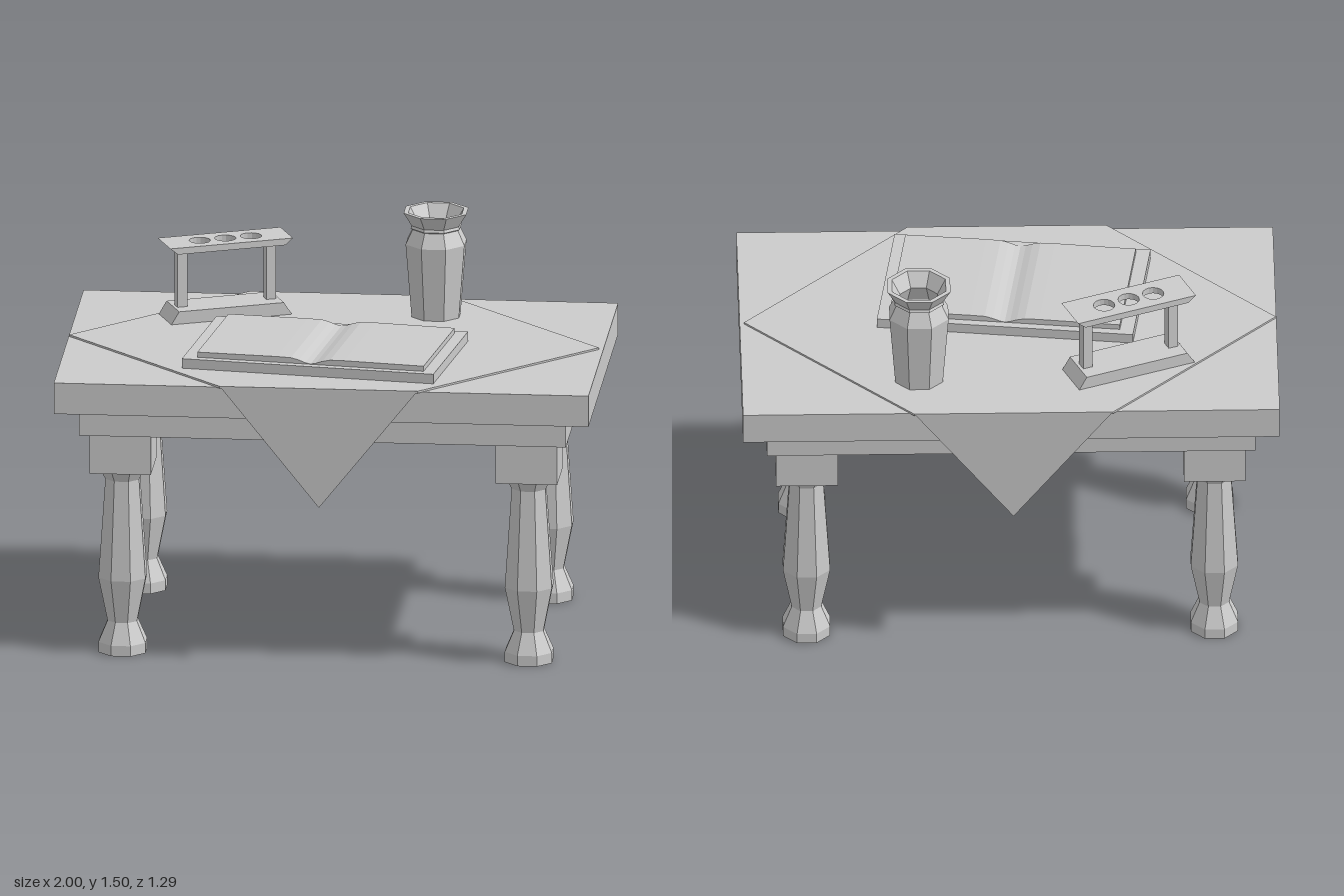
import * as THREE from 'three';

const mat = new THREE.MeshStandardMaterial({ color: 0xcccccc, flatShading: true });

function add(parent, name, geometry, x = 0, y = 0, z = 0) {
  const mesh = new THREE.Mesh(geometry, mat);
  mesh.name = name;
  mesh.position.set(x, y, z);
  parent.add(mesh);
  return mesh;
}

// Box given its bottom height
function box(parent, name, w, h, d, x, y, z) {
  return add(parent, name, new THREE.BoxGeometry(w, h, d), x, y + h / 2, z);
}

// Eight-sided turned form with flat sides facing front; radii measured across the flats
function turned(profile) {
  const k = 1 / Math.cos(Math.PI / 8);
  const pts = profile.map(([r, y]) => new THREE.Vector2(r * k, y));
  return new THREE.LatheGeometry(pts, 8).rotateY(Math.PI / 8);
}

const shapeOf = pts => new THREE.Shape(pts.map(p => new THREE.Vector2(...p)));
const extrude = (shape, depth) =>
  new THREE.ExtrudeGeometry(shape, { depth, bevelEnabled: false, curveSegments: 8 });

// Horizontal plate whose two ends slope from length l0 (bottom) to l1 (top)
function slopedPlate(l0, l1, width, h, holes = []) {
  const a = l0 / 2, w = width / 2;
  const shape = shapeOf([[-a, -w], [a, -w], [a, w], [-a, w]]);
  for (const x of holes) {
    const hole = new THREE.Path();
    hole.absarc(x, 0, 0.04, 0, Math.PI * 2, true);
    shape.holes.push(hole);
  }
  const g = extrude(shape, h).rotateX(-Math.PI / 2);
  const p = g.attributes.position;
  for (let i = 0; i < p.count; i++) {
    if (Math.abs(p.getX(i)) > a - 0.001 && p.getY(i) > h / 2) p.setX(i, Math.sign(p.getX(i)) * l1 / 2);
  }
  g.computeVertexNormals();
  return g;
}

function makeTable() {
  const table = new THREE.Group();
  table.name = 'table';
  box(table, 'tableTop', 2, 0.12, 1.256, 0, 0.968, 0);
  box(table, 'apron', 1.82, 0.1, 1.14, 0, 0.87, 0);
  const leg = turned([[0, 0], [0.088, 0], [0.088, 0.04], [0.055, 0.12], [0.088, 0.29],
    [0.063, 0.67], [0.085, 0.715], [0, 0.715]]);
  for (const sx of [-1, 1]) {
    for (const sz of [-1, 1]) {
      box(table, 'legBlock', 0.23, 0.157, 0.23, sx * 0.76, 0.714, sz * 0.423);
      add(table, 'leg', leg, sx * 0.76, 0, sz * 0.423);
    }
  }
  return table;
}

function makeCloth() {
  const cloth = new THREE.Group();
  cloth.name = 'cloth';
  const cx = -0.008, half = 0.37, edge = 0.643, topY = 1.095;
  const top = shapeOf([[-0.998, 0], [cx - half, -edge], [cx + half, -edge],
    [0.984, 0], [cx + half, edge], [cx - half, edge]]);
  add(cloth, 'clothTop', extrude(top, 0.008).rotateX(-Math.PI / 2), 0, topY - 0.008, 0);
  // Hanging corners lean slightly inward
  for (const s of [-1, 1]) {
    const g = extrude(shapeOf([[cx - half, topY], [cx, 0.63], [cx + half, topY]]), 0.014);
    const p = g.attributes.position;
    for (let i = 0; i < p.count; i++) {
      const lean = (topY - p.getY(i)) * 0.025;
      p.setZ(i, p.getZ(i) + (s > 0 ? edge - 0.014 - lean : -edge + lean));
    }
    g.computeVertexNormals();
    add(cloth, 'clothCorner', g);
  }
  return cloth;
}

function makeBook() {
  const book = new THREE.Group();
  book.name = 'openBook';
  book.position.set(-0.025, 1.092, 0.184);
  book.rotation.y = -0.133;
  box(book, 'cover', 0.96, 0.04, 0.588, 0, 0, 0);
  // Page block with a gutter along the middle
  const gutter = [[0.13, 0.062], [0.075, 0.061], [0.045, 0.054], [0.02, 0.045]];
  const pages = shapeOf([[-0.432, 0.036], [0.432, 0.036], [0.432, 0.06], ...gutter, [0, 0.041],
    ...gutter.map(([x, y]) => [-x, y]).reverse(), [-0.432, 0.06]]);
  add(book, 'pages', extrude(pages, 0.526), 0.004, 0, -0.263);
  return book;
}

function makeRack() {
  const rack = new THREE.Group();
  rack.name = 'tubeRack';
  rack.position.set(-0.443, 1.088, -0.327);
  rack.rotation.y = 0.398;
  add(rack, 'rackBase', slopedPlate(0.48, 0.41, 0.155, 0.055));
  add(rack, 'rackTop', slopedPlate(0.42, 0.48, 0.155, 0.025, [-0.1, 0, 0.1]), 0, 0.277, 0);
  for (const s of [-1, 1]) box(rack, 'rackPost', 0.038, 0.228, 0.038, s * 0.174, 0.052, 0);
  return rack;
}

export function createModel() {
  const model = new THREE.Group();
  model.name = 'studyTable';
  model.add(makeTable(), makeCloth(), makeBook(), makeRack());
  // Hollow vase: outer wall up, over the rim, inner wall down
  const vase = turned([[0, 0], [0.088, 0], [0.11, 0.29], [0.085, 0.345], [0.092, 0.35], [0.088, 0.36],
    [0.117, 0.412], [0.1, 0.412], [0.07, 0.355], [0.095, 0.29], [0.072, 0.02], [0, 0.02]]);
  add(model, 'vase', vase, 0.34, 1.088, -0.387);
  return model;
}
